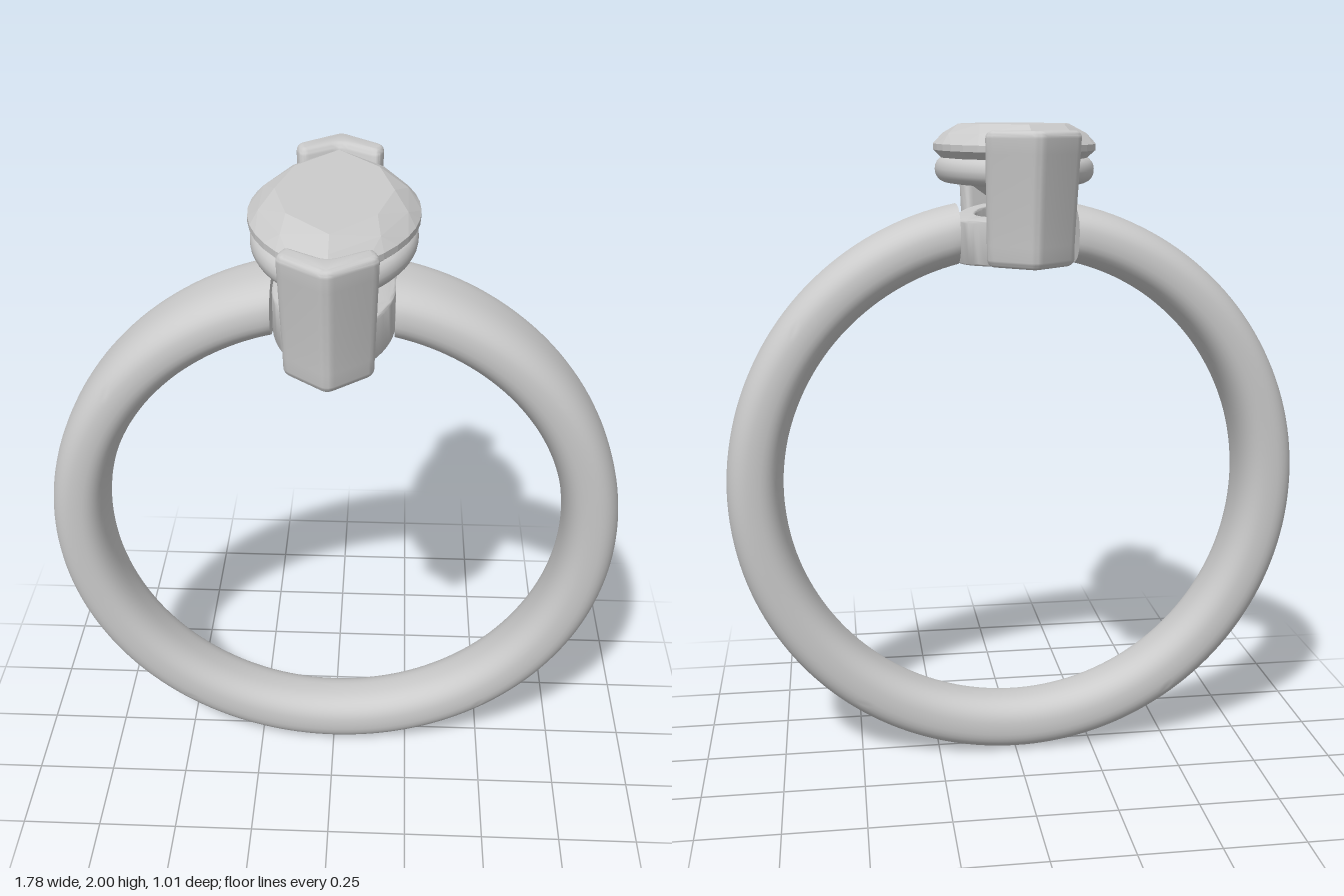
import * as THREE from 'three';
import { toCreasedNormals } from 'three/addons/utils/BufferGeometryUtils.js';
import { ConvexGeometry } from 'three/addons/geometries/ConvexGeometry.js';

const metal = new THREE.MeshStandardMaterial({ color: 0xcccccc });

function addMesh(parent, name, geometry) {
  const mesh = new THREE.Mesh(geometry, metal);
  mesh.name = name;
  parent.add(mesh);
  return mesh;
}

// Pointed oval made of two circular arcs, as [x, z] points
function marquise(halfW, halfL, perSide) {
  const R = (halfW * halfW + halfL * halfL) / (2 * halfW);
  const sweep = Math.asin(halfL / R);
  const points = [];
  for (const side of [1, -1]) {
    for (let i = 0; i < perSide; i++) {
      const a = -sweep + (2 * sweep * i) / perSide;
      points.push([side * (R * Math.cos(a) - R + halfW), side * R * Math.sin(a)]);
    }
  }
  return points;
}

const toVectors = (pts) => pts.map(([x, z]) => new THREE.Vector2(x, z));

// Upright prism from a plan shape (x, z) between two heights, with rounded rims
function extrudeUp(shape, bottom, top, bevel, steps = 1) {
  const geo = new THREE.ExtrudeGeometry(shape, {
    depth: top - bottom - 2 * bevel, steps, curveSegments: 5,
    bevelThickness: bevel, bevelSize: bevel, bevelOffset: -bevel, bevelSegments: 5,
  });
  return geo.rotateX(Math.PI / 2).translate(0, top - bevel, 0);
}

function marquiseRing(outer, inner, bottom, top, bevel) {
  const shape = new THREE.Shape(toVectors(marquise(...outer, 28)));
  shape.holes.push(new THREE.Path(toVectors(marquise(...inner, 28))));
  return extrudeUp(shape, bottom, top, bevel);
}

// Polygon whose corners are softened, starting the curve at distance d from each
function softPolygon(points, d) {
  const shape = new THREE.Shape();
  const corners = toVectors(points);
  corners.forEach((c, i) => {
    const before = corners.at(i - 1), after = corners[(i + 1) % corners.length];
    const a = before.clone().sub(c).setLength(d).add(c);
    const b = after.clone().sub(c).setLength(d).add(c);
    if (i === 0) shape.moveTo(a.x, a.y);
    else shape.lineTo(a.x, a.y);
    shape.quadraticCurveTo(c.x, c.y, b.x, b.y);
  });
  shape.closePath();
  return shape;
}

function reshape(geo, rule) {
  const p = geo.attributes.position;
  const v = new THREE.Vector3();
  for (let i = 0; i < p.count; i++) {
    rule(v.fromBufferAttribute(p, i));
    p.setXYZ(i, v.x, v.y, v.z);
  }
  return toCreasedNormals(geo, 0.7);
}

// Open band: soft-cornered section, wider toward the top, ends cut on x = +-0.175
function bandGeometry() {
  const around = 160, sides = 40, cy = 0.892, gap = 0.175;
  const positions = [], index = [];
  const power = (c) => Math.sign(c) * Math.abs(c) ** 0.78;
  for (let i = 0; i <= around; i++) {
    for (let j = 0; j < sides; j++) {
      const a = (j / sides) * Math.PI * 2;
      const r = 0.806 + 0.086 * power(Math.cos(a));
      const start = Math.asin(gap / r);
      const t = start + (2 * Math.PI - 2 * start) * (i / around);
      const x = r * Math.sin(t), y = cy + r * Math.cos(t);
      const halfWidth = 0.094 + 0.059 * (cy + 0.806 * Math.cos(t)) / 1.7;
      positions.push(x, y, halfWidth * power(Math.sin(a)));
      if (i < around) {
        const k = (j + 1) % sides;
        const p = i * sides + j, q = i * sides + k;
        index.push(p, q, p + sides, q, q + sides, p + sides);
      }
    }
  }
  // End caps
  const e = around * sides;
  for (let j = 1; j < sides - 1; j++) {
    index.push(0, j + 1, j, e, e + j, e + j + 1);
  }
  const geo = new THREE.BufferGeometry();
  geo.setAttribute('position', new THREE.Float32BufferAttribute(positions, 3));
  geo.setIndex(index);
  return toCreasedNormals(geo, 0.8);
}

// Faceted stone: table, crown, girdle and a pavilion meeting in one point
function stoneGeometry() {
  const points = [new THREE.Vector3(0, 1.758, 0)];
  const layer = (w, l, n, y) =>
    marquise(w, l, n).forEach(([x, z]) => points.push(new THREE.Vector3(x, y, z)));
  layer(0.165, 0.31, 4, 2.0);
  layer(0.212, 0.375, 5, 1.973);
  layer(0.24, 0.415, 16, 1.943);
  layer(0.24, 0.415, 16, 1.925);
  layer(0.15, 0.255, 4, 1.838);
  layer(0.065, 0.12, 4, 1.777);
  return new ConvexGeometry(points);
}

// V-shaped claw that flares outward as it rises
function prongGeometry() {
  const shape = softPolygon([
    [0, 0.52], [-0.138, 0.412], [-0.115, 0.342], [0, 0.42], [0.115, 0.342], [0.138, 0.412],
  ], 0.028);
  return reshape(extrudeUp(shape, 1.615, 1.985, 0.02, 8), (v) => {
    const t = THREE.MathUtils.clamp((v.y - 1.615) / 0.37, 0, 1);
    v.z -= 0.055 * (1 - t ** 1.3);
    v.x *= 0.92 + 0.08 * t;
  });
}

export function createModel() {
  const ring = new THREE.Group();
  ring.name = 'ring';

  addMesh(ring, 'band', bandGeometry());

  // Setting: lower rail follows the curve of the finger opening
  const setting = new THREE.Group();
  setting.name = 'setting';
  ring.add(setting);
  const lowerRail = marquiseRing([0.178, 0.41], [0.115, 0.31], 1.615, 1.745, 0.008);
  addMesh(setting, 'lowerRail', reshape(lowerRail, (v) => { v.y -= 0.7 * v.x * v.x; }));
  const upperRail = marquiseRing([0.235, 0.41], [0.155, 0.29], 1.83, 1.907, 0.036);
  addMesh(setting, 'upperRail', toCreasedNormals(upperRail, 0.7));

  const claw = prongGeometry();
  addMesh(setting, 'frontProng', claw);
  addMesh(setting, 'backProng', claw).rotation.y = Math.PI;

  addMesh(ring, 'stone', stoneGeometry());
  return ring;
}
